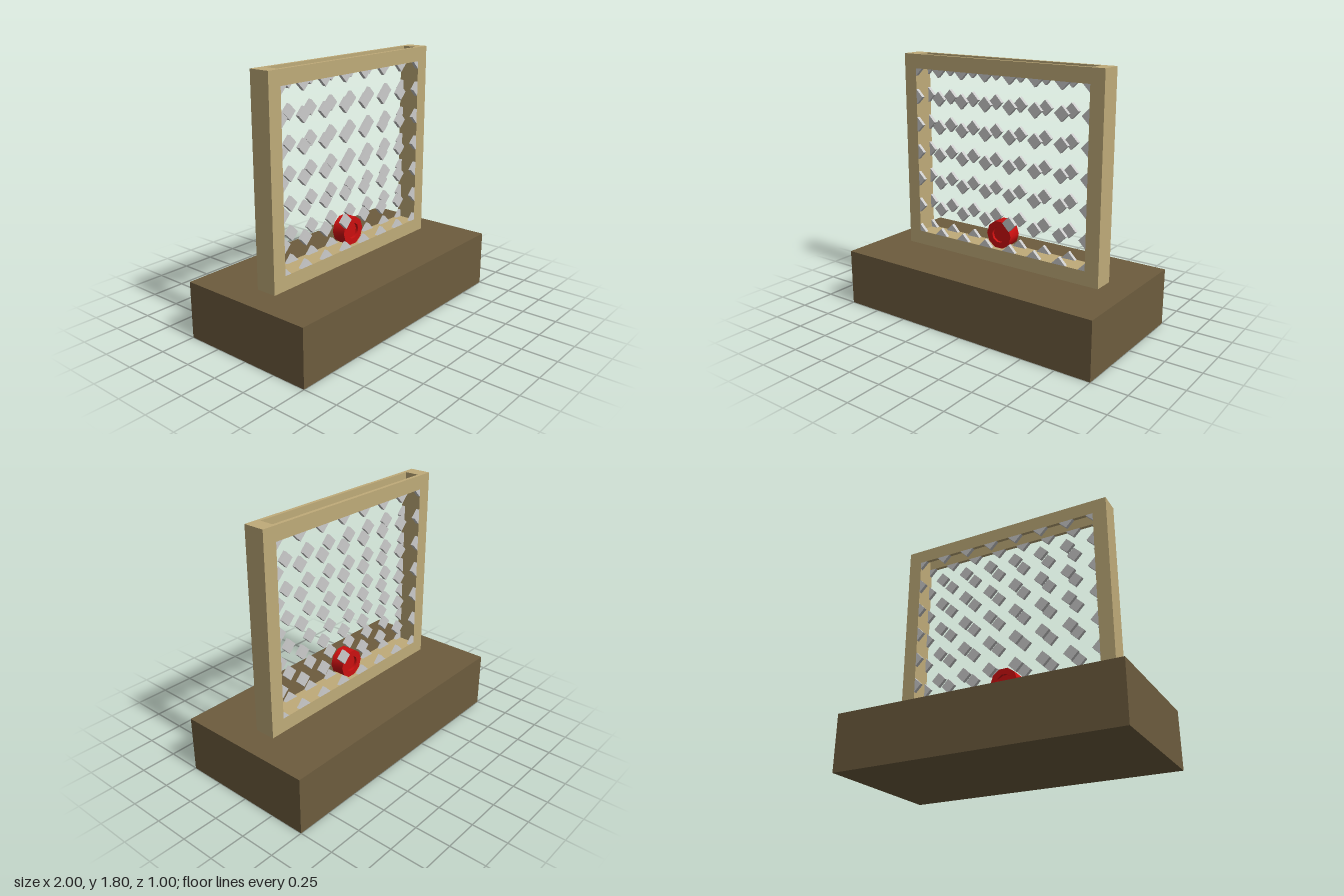
import * as THREE from 'three';
import { toCreasedNormals } from 'three/addons/utils/BufferGeometryUtils.js';

const mat = (color) => new THREE.MeshStandardMaterial({ color });

export function createModel() {
  const model = new THREE.Group();
  const brown = mat(0x6d5c3e), tan = mat(0xbfab79), grey = mat(0xcccccc), red = mat(0xcc1010);

  const box = (name, material, parent, size, pos) => {
    const mesh = new THREE.Mesh(new THREE.BoxGeometry(...size), material);
    mesh.name = name;
    mesh.position.set(...pos);
    parent.add(mesh);
  };

  // Base block
  box('base', brown, model, [2, 0.4, 1], [0, 0.2, 0]);

  // Upright frame, open along the top as a slot
  const frame = new THREE.Group();
  frame.name = 'frame';
  model.add(frame);
  box('bottomRail', tan, frame, [1.4, 0.1, 0.15], [0, 0.45, 0]);
  for (const s of [1, -1]) {
    box(s > 0 ? 'leftPost' : 'rightPost', tan, frame, [0.1, 1.4, 0.15], [s * 0.75, 1.1, 0]);
    box(s > 0 ? 'frontTopRail' : 'backTopRail', tan, frame, [1.4, 0.1, 0.025], [0, 1.75, s * 0.0625]);
  }

  // Diamond pegs in a front and a back layer, cut off at the frame opening
  const half = 0.053, depth = 0.025;
  const pegGeometry = (cx, cy) => {
    const pts = [];
    for (const [dx, dy] of [[1, 0], [0, 1], [-1, 0], [0, -1]]) {
      const p = new THREE.Vector2(
        THREE.MathUtils.clamp(cx + dx * half, -0.7, 0.7),
        THREE.MathUtils.clamp(cy + dy * half, 0.5, 1.7)
      );
      if (!pts.some((q) => q.distanceTo(p) < 1e-6)) pts.push(p);
    }
    return new THREE.ExtrudeGeometry(new THREE.Shape(pts), { depth, bevelEnabled: false });
  };
  const layers = [['frontPegs', 0.05], ['backPegs', -0.075]].map(([name, z]) => {
    const layer = new THREE.Group();
    layer.name = name;
    layer.position.z = z;
    model.add(layer);
    return layer;
  });
  for (let i = 0; i < 8; i++) {
    for (let j = 0; j < 7; j++) {
      const geometry = pegGeometry((2 * i - 7) / 10, (2 * j + 5) / 10);
      for (const layer of layers) {
        const peg = new THREE.Mesh(geometry, grey);
        peg.name = 'peg';
        layer.add(peg);
      }
    }
  }

  // Game disc with a shallow recess on both faces
  const profile = [[0, -0.03], [0.056, -0.03], [0.056, -0.05], [0.1, -0.05],
    [0.1, 0.05], [0.056, 0.05], [0.056, 0.03], [0, 0.03]].map((p) => new THREE.Vector2(...p));
  const disc = new THREE.Mesh(
    toCreasedNormals(new THREE.LatheGeometry(profile, 10, Math.PI / 2), 0.8), red);
  disc.name = 'disc';
  disc.rotation.x = Math.PI / 2;
  disc.position.y = 0.6;
  model.add(disc);

  return model;
}
